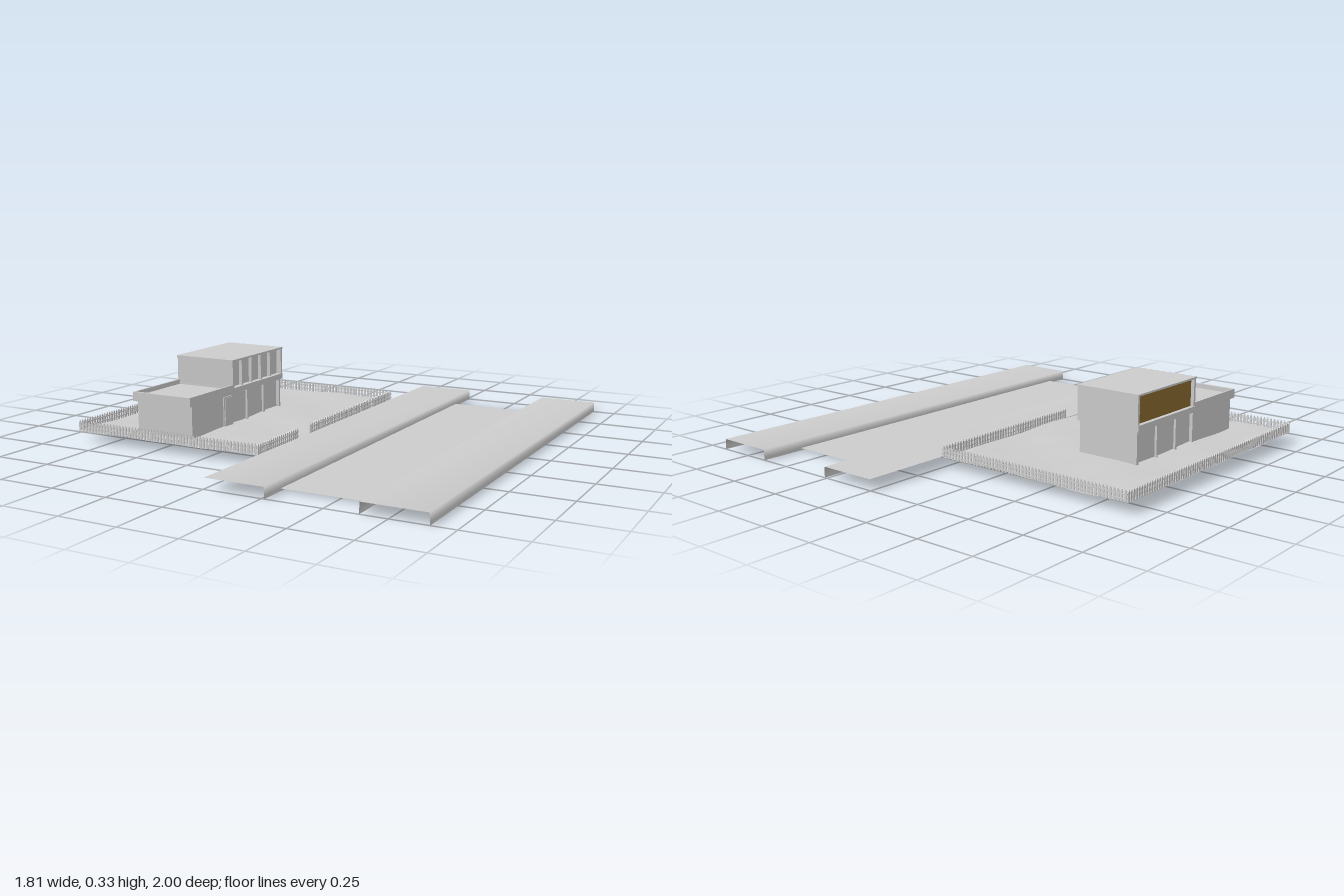
import * as THREE from 'three';
import { mergeGeometries } from 'three/addons/utils/BufferGeometryUtils.js';

const grey = new THREE.MeshStandardMaterial({ color: 0xcccccc });
const greyThin = new THREE.MeshStandardMaterial({ color: 0xcccccc, side: THREE.DoubleSide });
const brown = new THREE.MeshStandardMaterial({ color: 0x8a6a30 });

// Box given by its minimum and maximum corners
function box(parent, name, [x0, y0, z0], [x1, y1, z1], material = grey) {
  const mesh = new THREE.Mesh(new THREE.BoxGeometry(x1 - x0, y1 - y0, z1 - z0), material);
  mesh.position.set((x0 + x1) / 2, (y0 + y1) / 2, (z0 + z1) / 2);
  mesh.name = name;
  parent.add(mesh);
  return mesh;
}

// Open sheet: an x,y profile swept along z, with shared smooth normals
function strip(name, profile, z0, z1) {
  const pos = [], idx = [];
  profile.forEach(([x, y], i) => {
    pos.push(x, y, z0, x, y, z1);
    if (i) {
      const a = 2 * i - 2;
      idx.push(a, a + 1, a + 2, a + 1, a + 3, a + 2);
    }
  });
  const geo = new THREE.BufferGeometry();
  geo.setAttribute('position', new THREE.Float32BufferAttribute(pos, 3));
  geo.setIndex(idx);
  geo.computeVertexNormals();
  const mesh = new THREE.Mesh(geo, greyThin);
  mesh.name = name;
  return mesh;
}

// Gently uneven lawn
function lawn() {
  const geo = new THREE.PlaneGeometry(0.905, 1.24, 36, 48).rotateX(-Math.PI / 2).translate(-0.4525, 0, 0.01);
  const p = geo.attributes.position;
  for (let i = 0; i < p.count; i++) {
    const x = p.getX(i), z = p.getZ(i);
    const wave = Math.sin(9 * x + 4 * z) + Math.sin(13 * z - 7 * x + 1) + 0.6 * Math.sin(23 * x + 17 * z);
    p.setY(i, 0.044 + 0.0022 * wave);
  }
  geo.computeVertexNormals();
  const mesh = new THREE.Mesh(geo, greyThin);
  mesh.name = 'lawn';
  return mesh;
}

// Pointed pickets and two rails between two points on the ground
function fence(name, x0, z0, x1, z1) {
  const w = 0.0048, y0 = 0.042;
  const shape = new THREE.Shape([[-w, 0], [w, 0], [w, 0.038], [0, 0.048], [-w, 0.038]].map(([x, y]) => new THREE.Vector2(x, y)));
  const picket = new THREE.ExtrudeGeometry(shape, { depth: 0.003, bevelEnabled: false }).translate(0, y0, -0.0015);
  const length = Math.hypot(x1 - x0, z1 - z0);
  const count = Math.max(2, Math.round(length / 0.0165));
  const parts = [];
  for (let i = 0; i < count; i++) parts.push(picket.clone().translate((i + 0.5) * length / count, 0, 0));
  for (const y of [0.055, 0.073]) {
    parts.push(new THREE.BoxGeometry(length, 0.004, 0.003).toNonIndexed().translate(length / 2, y, -0.003));
  }
  const mesh = new THREE.Mesh(mergeGeometries(parts), grey);
  mesh.position.set(x0, 0, z0);
  mesh.rotation.y = -Math.atan2(z1 - z0, x1 - x0);
  mesh.name = name;
  return mesh;
}

function house() {
  const g = new THREE.Group();
  g.name = 'house';

  // Ground floor: solid front room, recessed rear with end wall and corner posts
  box(g, 'frontRoom', [-0.67, 0.034, 0.2], [-0.39, 0.185, 0.51]);
  box(g, 'rearRoom', [-0.655, 0.034, -0.2], [-0.405, 0.185, 0.2]);
  box(g, 'rearWall', [-0.67, 0.034, -0.21], [-0.39, 0.185, -0.198]);
  for (const x of [-0.67, -0.4]) {
    for (const z of [-0.07, 0.07]) box(g, 'sidePost', [x, 0.034, z], [x + 0.01, 0.185, z + 0.01]);
  }

  // Entrance door in its frame
  box(g, 'doorFrame', [-0.41, 0.045, 0.205], [-0.385, 0.175, 0.275]);
  box(g, 'door', [-0.4, 0.045, 0.211], [-0.382, 0.169, 0.269]);

  // Terrace: floor tray with a low parapet
  box(g, 'terraceFloor', [-0.675, 0.18, 0.2], [-0.38, 0.2, 0.535]);
  box(g, 'terraceParapetFront', [-0.675, 0.18, 0.525], [-0.38, 0.22, 0.537]);
  for (const x of [-0.675, -0.388]) box(g, 'terraceParapetSide', [x, 0.18, 0.2], [x + 0.008, 0.22, 0.53]);

  // Upper floor: slab, roof and end walls framing recessed sides
  box(g, 'upperSlab', [-0.678, 0.18, -0.215], [-0.38, 0.205, 0.21]);
  box(g, 'upperRoof', [-0.678, 0.322, -0.218], [-0.38, 0.33, 0.21]);
  for (const z of [-0.215, 0.196]) box(g, 'upperEndWall', [-0.675, 0.205, z], [-0.381, 0.322, z + 0.012]);
  box(g, 'upperRoom', [-0.65, 0.205, -0.203], [-0.405, 0.322, 0.196]);
  box(g, 'brownPanel', [-0.66, 0.205, -0.203], [-0.65, 0.322, 0.196], brown);
  for (let i = 1; i < 5; i++) {
    const z = -0.203 + i * 0.08;
    box(g, 'windowMullion', [-0.405, 0.205, z - 0.004], [-0.39, 0.322, z + 0.004]);
  }
  return g;
}

export function createModel() {
  const model = new THREE.Group();
  model.add(lawn(), house());

  // Fence around the lawn, with a gate opening on the street side
  const l = -0.902, r = 0.002, b = -0.607, f = 0.627;
  model.add(
    fence('fenceFront', l, f, r, f),
    fence('fenceBack', l, b, r, b),
    fence('fenceLeft', l, b, l, f),
    fence('fenceStreetBack', r, b, r, 0.205),
    fence('fenceStreetFront', r, 0.305, r, f)
  );

  // Street: road between two curbed pavements
  const top = 0.045;
  model.add(
    strip('nearPavement', [[0.003, top], [0.26, top], [0.262, 0.012], [0.262, 0]], -1, 1),
    strip('road', [[0.262, 0.01], [0.64, 0.01]], -0.81, 0.885),
    strip('farPavement', [[0.64, 0], [0.64, 0.012], [0.642, top], [0.9, top], [0.902, 0.012], [0.902, 0]], -1, 1)
  );
  return model;
}
